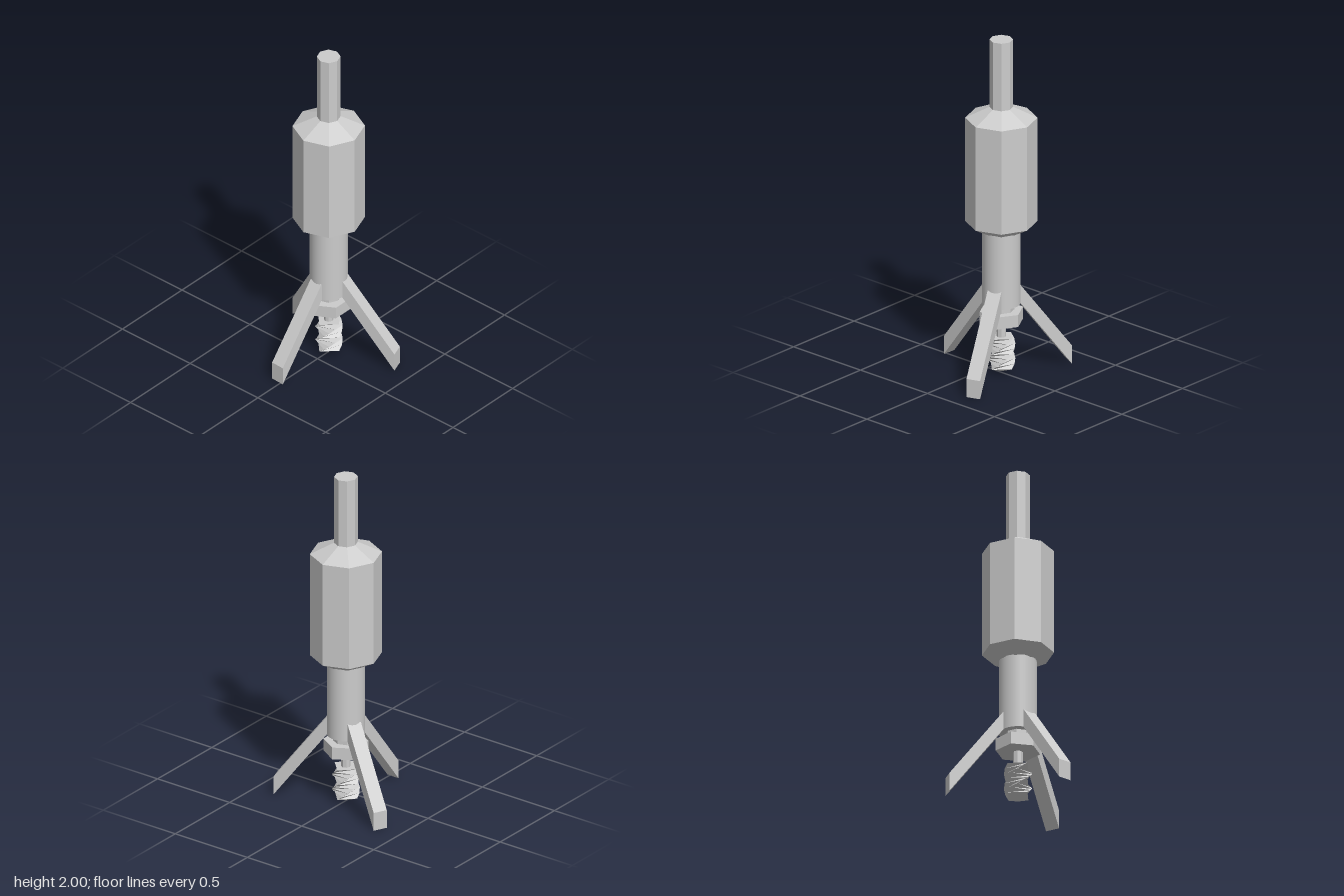
import * as THREE from 'three';

const AXIS_X = 0.097, AXIS_Z = -0.003, TURN = -0.05;

export function createModel() {
  const model = new THREE.Group();
  model.name = 'drillTower';
  const flat = new THREE.MeshStandardMaterial({ color: 0xcccccc, flatShading: true });
  const smooth = new THREE.MeshStandardMaterial({ color: 0xcccccc });

  const add = (name, geometry, material = flat) => {
    const mesh = new THREE.Mesh(geometry, material);
    mesh.name = name;
    model.add(mesh);
    return mesh;
  };

  // Upright prism or frustum between two heights
  const column = (name, rTop, rBottom, y0, y1, sides, turn = TURN, material = flat) => {
    const g = new THREE.CylinderGeometry(rTop, rBottom, y1 - y0, sides);
    g.rotateY(turn);
    g.translate(AXIS_X, (y0 + y1) / 2, AXIS_Z);
    return add(name, g, material);
  };

  // Octagonal upper shaft and motor housing
  column('upperShaft', 0.066, 0.066, 1.59, 2, 8);
  const profile = [[0, 0.855], [0.106, 0.855], [0.201, 0.91], [0.201, 1.53], [0.066, 1.595], [0, 1.595]]
    .map(([r, y]) => new THREE.Vector2(r, y));
  const housing = new THREE.LatheGeometry(profile, 8);
  housing.rotateY(TURN);
  housing.translate(AXIS_X, 0, AXIS_Z);
  add('motorHousing', housing);

  // Round sleeve, hexagonal collar and drive rod
  column('sleeve', 0.106, 0.106, 0.42, 0.86, 32, 0, smooth);
  column('collarNeck', 0.072, 0.072, 0.37, 0.425, 8);
  column('collar', 0.126, 0.126, 0.308, 0.38, 6, Math.PI / 2);
  column('driveRod', 0.027, 0.027, 0.2, 0.32, 8);

  // Twisted square drill bit
  const y0 = 0.04, y1 = 0.22;
  const bit = new THREE.CylinderGeometry(0.078, 0.078, y1 - y0, 4, 8);
  bit.translate(0, (y0 + y1) / 2, 0);
  const p = bit.attributes.position;
  const v = new THREE.Vector3(), up = new THREE.Vector3(0, 1, 0);
  for (let i = 0; i < p.count; i++) {
    v.fromBufferAttribute(p, i);
    v.applyAxisAngle(up, ((v.y - y0) / (y1 - y0)) * Math.PI);
    p.setXYZ(i, v.x, v.y, v.z);
  }
  bit.computeVertexNormals();
  bit.translate(AXIS_X, 0, AXIS_Z);
  add('drillBit', bit);
  column('drillTip', 0.078, 0, 0.008, y0, 4, 0);

  // Three slanted legs with upright ends
  const side = new THREE.Shape([[0.085, 0.435], [0.408, 0.003], [0.408, 0.112], [0.1, 0.523], [0.085, 0.523]]
    .map(([x, y]) => new THREE.Vector2(x, y)));
  const legGeometry = new THREE.ExtrudeGeometry(side, { depth: 0.082, bevelEnabled: false });
  legGeometry.translate(0, 0, -0.041);
  const legs = { rightLeg: 182.7, backLeg: 295.2, frontLeg: 70.3 };
  for (const [name, degrees] of Object.entries(legs)) {
    const leg = add(name, legGeometry);
    leg.position.set(AXIS_X, 0, AXIS_Z);
    leg.rotation.y = -THREE.MathUtils.degToRad(degrees);
  }
  return model;
}
